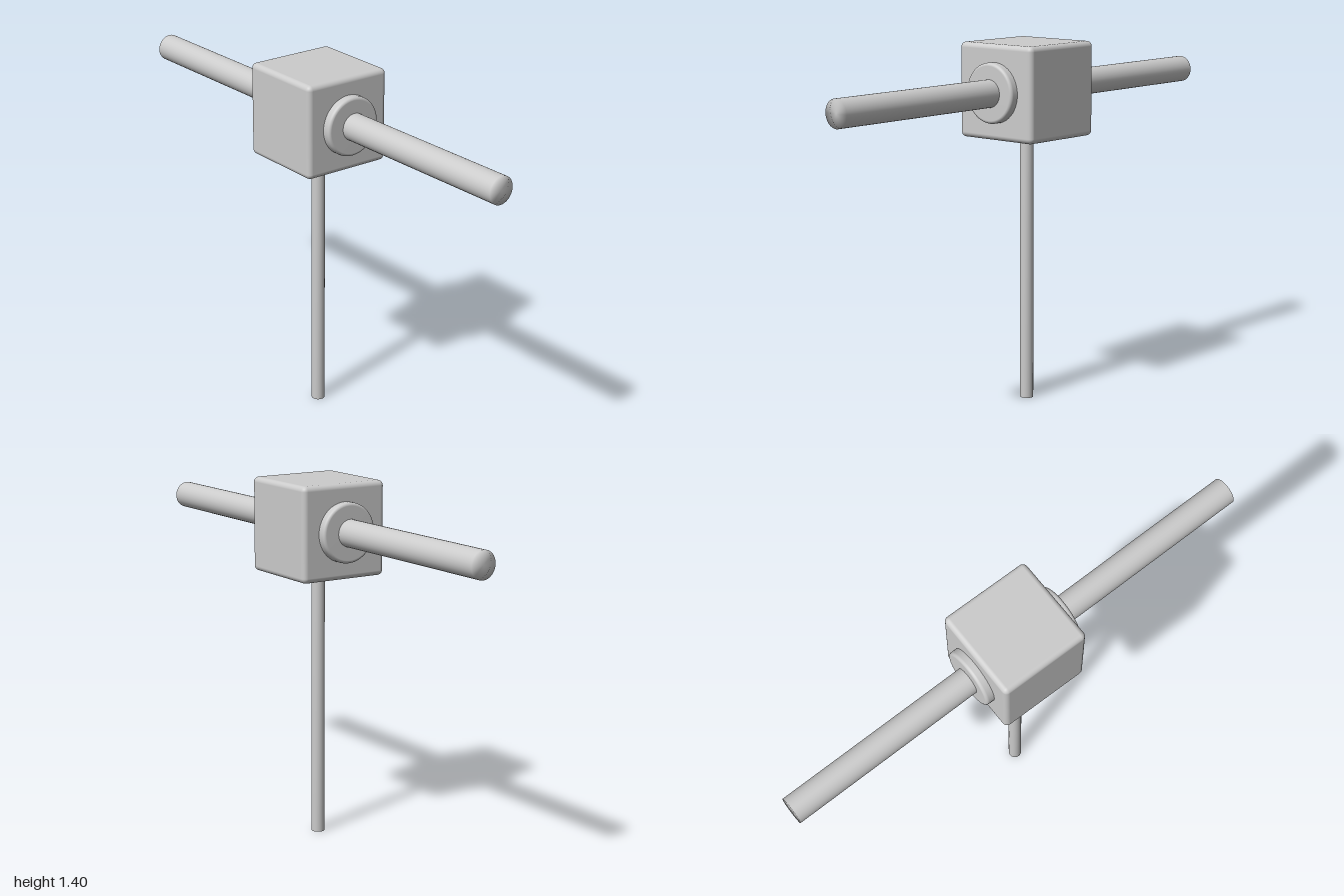
import * as THREE from 'three';
import { mergeVertices } from 'three/addons/utils/BufferGeometryUtils.js';
import { RoundedBoxGeometry } from 'three/addons/geometries/RoundedBoxGeometry.js';

const material = new THREE.MeshStandardMaterial({ color: 0xcccccc });
const HUB_Y = 1.222;

// Round rod whose end caps share smooth normals with its wall
function rod(name, radius, length) {
  let geo = new THREE.CylinderGeometry(radius, radius, length, 32);
  geo.deleteAttribute('normal');
  geo.deleteAttribute('uv');
  geo = mergeVertices(geo);
  geo.computeVertexNormals();
  const mesh = new THREE.Mesh(geo, material);
  mesh.name = name;
  return mesh;
}

// Flanged disc with a rounded outer rim, rising along +y
function collar(name) {
  const r = 0.115, h = 0.04, b = 0.012;
  const pts = [new THREE.Vector2(r, 0)];
  for (let i = 0; i <= 5; i++) {
    const a = (i / 5) * Math.PI / 2;
    pts.push(new THREE.Vector2(r - b + b * Math.cos(a), h - b + b * Math.sin(a)));
  }
  pts.push(new THREE.Vector2(0, h));
  const mesh = new THREE.Mesh(new THREE.LatheGeometry(pts, 48), material);
  mesh.name = name;
  return mesh;
}

export function createModel() {
  const group = new THREE.Group();
  group.name = 'postWithCrossbar';

  // Upright post, running up into the hub
  const post = rod('post', 0.026, 1.1);
  post.position.y = 0.55;
  group.add(post);

  // Cube hub with softened edges
  const hub = new THREE.Mesh(new RoundedBoxGeometry(0.364, 0.364, 0.364, 4, 0.02), material);
  hub.name = 'hub';
  hub.position.y = HUB_Y;
  group.add(hub);

  // Crossbar through the hub, turned very slightly about the vertical
  const crossbar = rod('crossbar', 0.053, 1.998);
  crossbar.rotation.set(0, 0.0125, Math.PI / 2, 'YXZ');
  crossbar.position.y = HUB_Y;
  group.add(crossbar);

  // Collars where the bar leaves the hub
  for (const side of [1, -1]) {
    const ring = collar(side > 0 ? 'leftCollar' : 'rightCollar');
    ring.rotation.z = -side * Math.PI / 2;
    ring.position.set(side * 0.176, HUB_Y, 0);
    group.add(ring);
  }

  return group;
}
